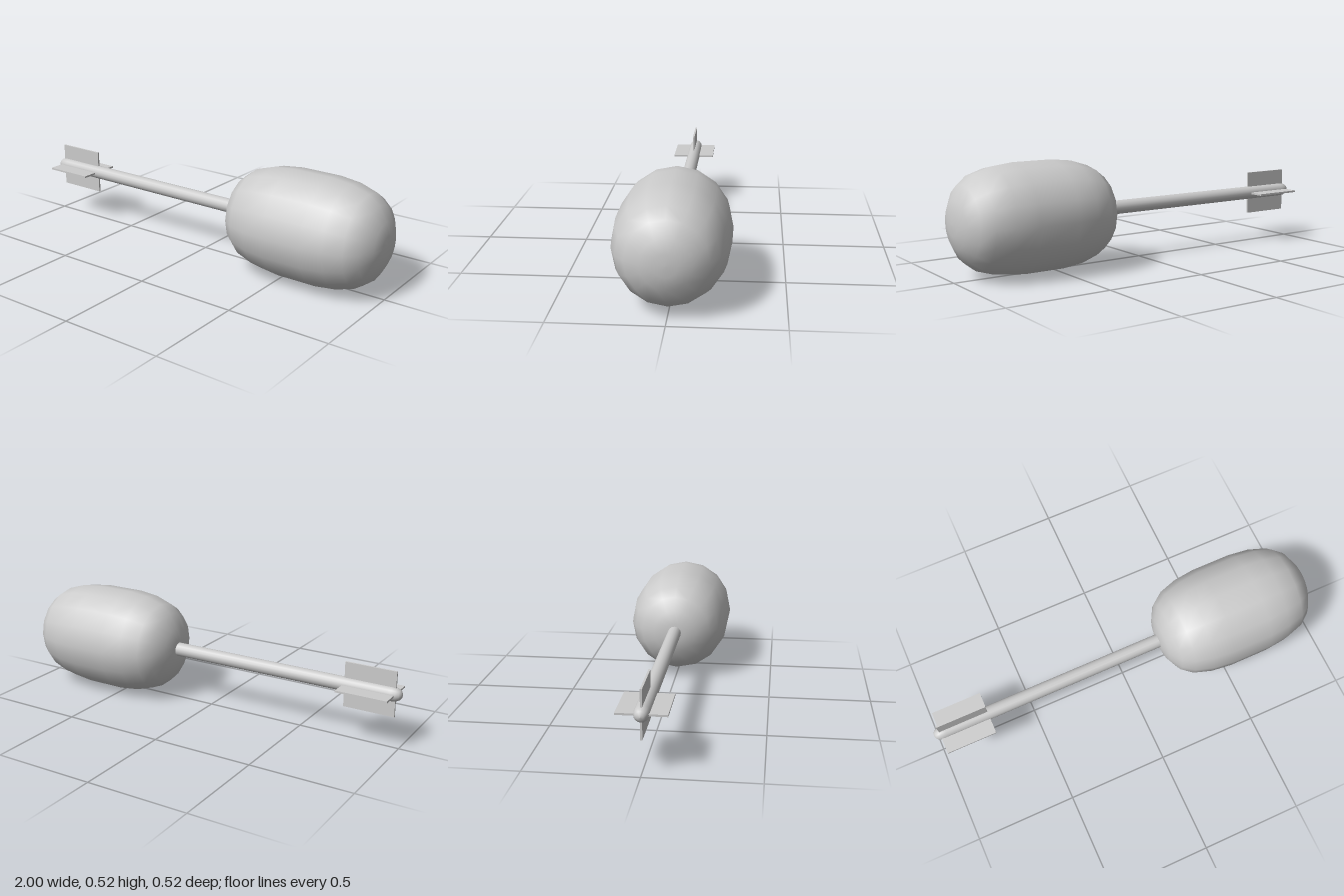
import * as THREE from 'three';

const AXIS_Y = 0.26;

export function createModel() {
  const model = new THREE.Group();
  const material = new THREE.MeshStandardMaterial({ color: 0xcccccc });

  // Turned part lying along x, from [x, radius] pairs
  const turned = (name, profile, sides) => {
    const points = profile.map(([x, r]) => new THREE.Vector2(r, x));
    const geometry = new THREE.LatheGeometry(points, sides).rotateZ(-Math.PI / 2);
    const mesh = new THREE.Mesh(geometry, material);
    mesh.name = name;
    mesh.position.y = AXIS_Y;
    model.add(mesh);
  };

  // Bulbous head, symmetric about its middle at x = 0.6
  const half = [
    [-0.403, 0], [-0.402, 0.05], [-0.388, 0.11], [-0.35, 0.178],
    [-0.295, 0.22], [-0.205, 0.248], [-0.1, 0.26],
  ];
  const mirrored = half.map(([x, r]) => [-x, r]).reverse();
  turned('head', [...half, ...mirrored].map(([x, r]) => [x + 0.597, r]), 16);

  // Slim shaft with a rounded tail
  turned('shaft', [
    [-1, 0], [-0.998, 0.013], [-0.99, 0.023], [-0.975, 0.031],
    [-0.955, 0.034], [-0.94, 0.034], [0.2, 0.034], [0.25, 0.034],
  ], 16);

  // Four thin tail fins
  const fins = new THREE.Group();
  fins.name = 'tailFins';
  fins.position.set(-0.845, AXIS_Y, 0);
  for (let i = 0; i < 4; i++) {
    const geometry = new THREE.BoxGeometry(0.25, 0.09, 0.009);
    geometry.translate(0, 0.065, 0).rotateX((i * Math.PI) / 2);
    const fin = new THREE.Mesh(geometry, material);
    fin.name = 'fin' + (i + 1);
    fins.add(fin);
  }
  model.add(fins);

  return model;
}
